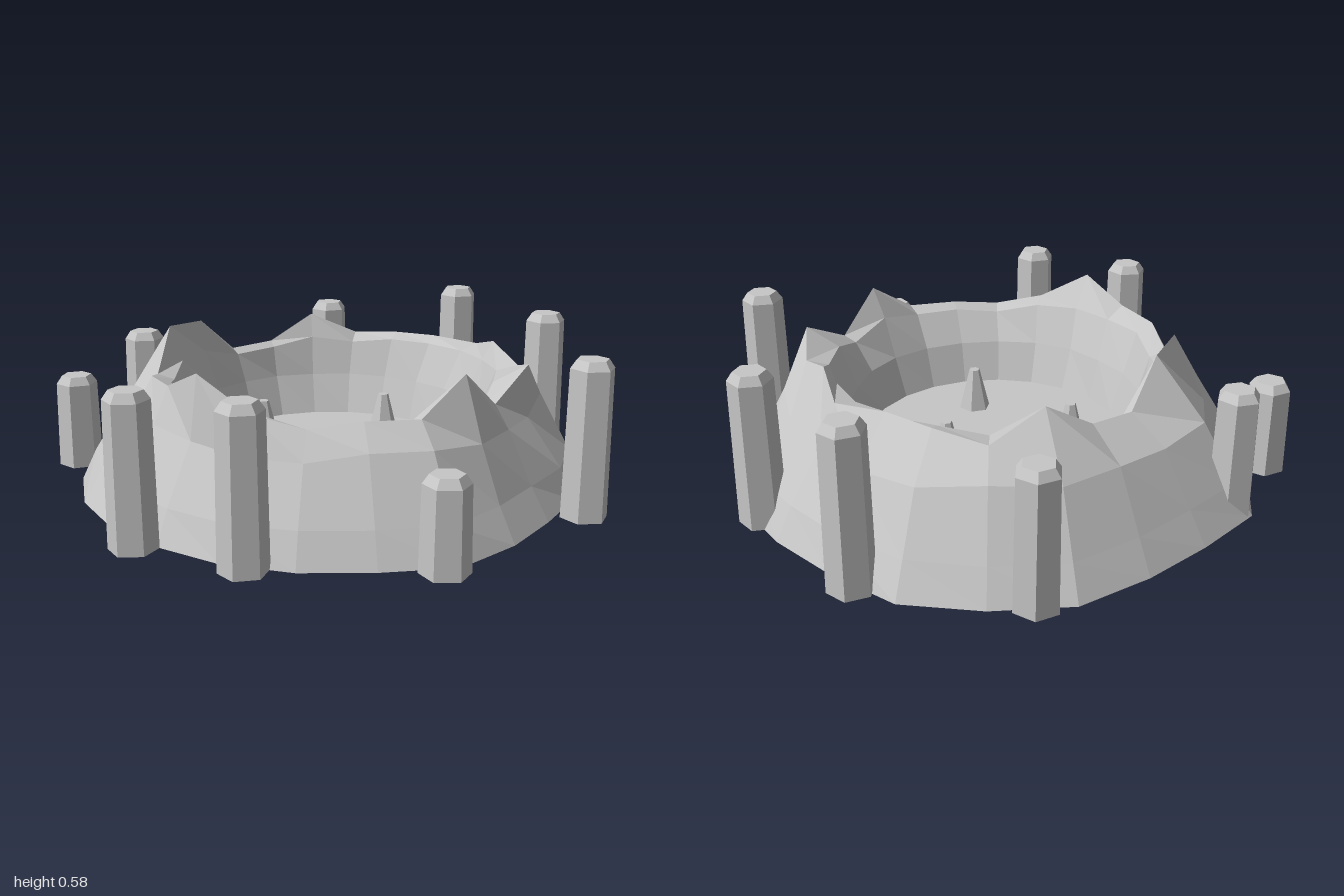
import * as THREE from 'three';

const stone = new THREE.MeshStandardMaterial({ color: 0xc6c6c6, flatShading: true, side: THREE.DoubleSide });
stone.name = 'grey stone';

// small seeded generator giving values in -1..1
let seed = 7;
function jitter() {
  seed = (seed * 16807) % 2147483647;
  return (seed / 2147483647) * 2 - 1;
}

function addMesh(parent, name, geometry, x = 0, y = 0, z = 0) {
  const mesh = new THREE.Mesh(geometry, stone);
  mesh.name = name;
  mesh.position.set(x, y, z);
  parent.add(mesh);
  return mesh;
}

// Per-spoke values, counted from +x towards +z
const SIDES = 22;
const FLOOR_Y = 0.11;
const baseRadius = [0.87, 0.91, 0.87, 0.87, 0.87, 0.87, 0.89, 0.915, 0.935, 0.94, 0.985,
  0.935, 0.94, 0.985, 0.975, 0.985, 0.935, 0.93, 0.95, 0.92, 0.88, 0.85];
const rimRadius = [0.64, 0.65, 0.62, 0.64, 0.65, 0.675, 0.66, 0.66, 0.64, 0.64, 0.61,
  0.615, 0.61, 0.62, 0.69, 0.64, 0.62, 0.675, 0.63, 0.67, 0.70, 0.64];
const rimHeight = [0.52, 0.40, 0.40, 0.38, 0.42, 0.53, 0.45, 0.44, 0.40, 0.54, 0.53,
  0.39, 0.40, 0.50, 0.41, 0.43, 0.44, 0.43, 0.48, 0.43, 0.48, 0.38];

// Rocky crater wall: a ring of cross-sections, open underneath
function craterWall() {
  const positions = [], index = [];
  const n = 7;
  for (let i = 0; i < SIDES; i++) {
    const b = baseRadius[i], r = rimRadius[i], h = rimHeight[i];
    const section = [
      [b, 0],
      [b * 0.935 + jitter() * 0.012, 0.115],
      [b * 0.81 + jitter() * 0.015, 0.31 + jitter() * 0.02],
      [r, h],
      [0.585 + jitter() * 0.01, Math.min(h - 0.02, 0.41)],
      [0.53 + jitter() * 0.01, 0.26],
      [0.48, FLOOR_Y],
    ];
    const a = (i / SIDES) * Math.PI * 2;
    section.forEach(([radius, y], j) => {
      const shift = j > 4 ? -0.02 : 0;
      positions.push(Math.cos(a) * radius + shift, y, Math.sin(a) * radius + shift / 2);
    });
    const p = i * n, q = ((i + 1) % SIDES) * n;
    for (let j = 0; j < n - 1; j++) {
      index.push(p + j, p + j + 1, q + j + 1, p + j, q + j + 1, q + j);
    }
  }
  const geometry = new THREE.BufferGeometry();
  geometry.setAttribute('position', new THREE.Float32BufferAttribute(positions, 3));
  geometry.setIndex(index);
  geometry.computeVertexNormals();
  return geometry;
}

// Six-sided column with a chamfered top
function pillarGeometry(h) {
  const profile = [[0, 0], [0.082, 0], [0.076, h - 0.03], [0.055, h], [0, h]];
  return new THREE.LatheGeometry(profile.map(([x, y]) => new THREE.Vector2(x, y)), 6);
}

export function createModel() {
  const model = new THREE.Group();
  model.name = 'stone crater';

  addMesh(model, 'craterWall', craterWall());

  const floor = new THREE.CircleGeometry(0.48, SIDES).rotateX(-Math.PI / 2);
  addMesh(model, 'craterFloor', floor, -0.02, FLOOR_Y, -0.01);

  // Ring of standing columns: x, z, height
  const pillars = [
    [-0.245, -0.925, 0.58], [0.28, -0.86, 0.555], [-0.73, -0.615, 0.49],
    [0.86, -0.37, 0.55], [-0.86, 0.26, 0.46], [-0.785, 0.615, 0.35],
    [0.085, 0.92, 0.52], [0.455, 0.765, 0.535], [0.865, 0.32, 0.315],
  ];
  for (const [x, z, h] of pillars) {
    addMesh(model, 'pillar', pillarGeometry(h), x, 0, z).rotation.y = Math.PI / 6 + jitter() * 0.2;
  }

  // Small spikes rising from the floor
  for (const [x, z] of [[-0.035, -0.285], [-0.265, 0.12], [0.2, 0.11]]) {
    const spike = new THREE.CylinderGeometry(0.02, 0.06, 0.16, 6);
    addMesh(model, 'floorSpike', spike, x, FLOOR_Y + 0.075, z).rotation.y = Math.PI / 6;
  }
  return model;
}
